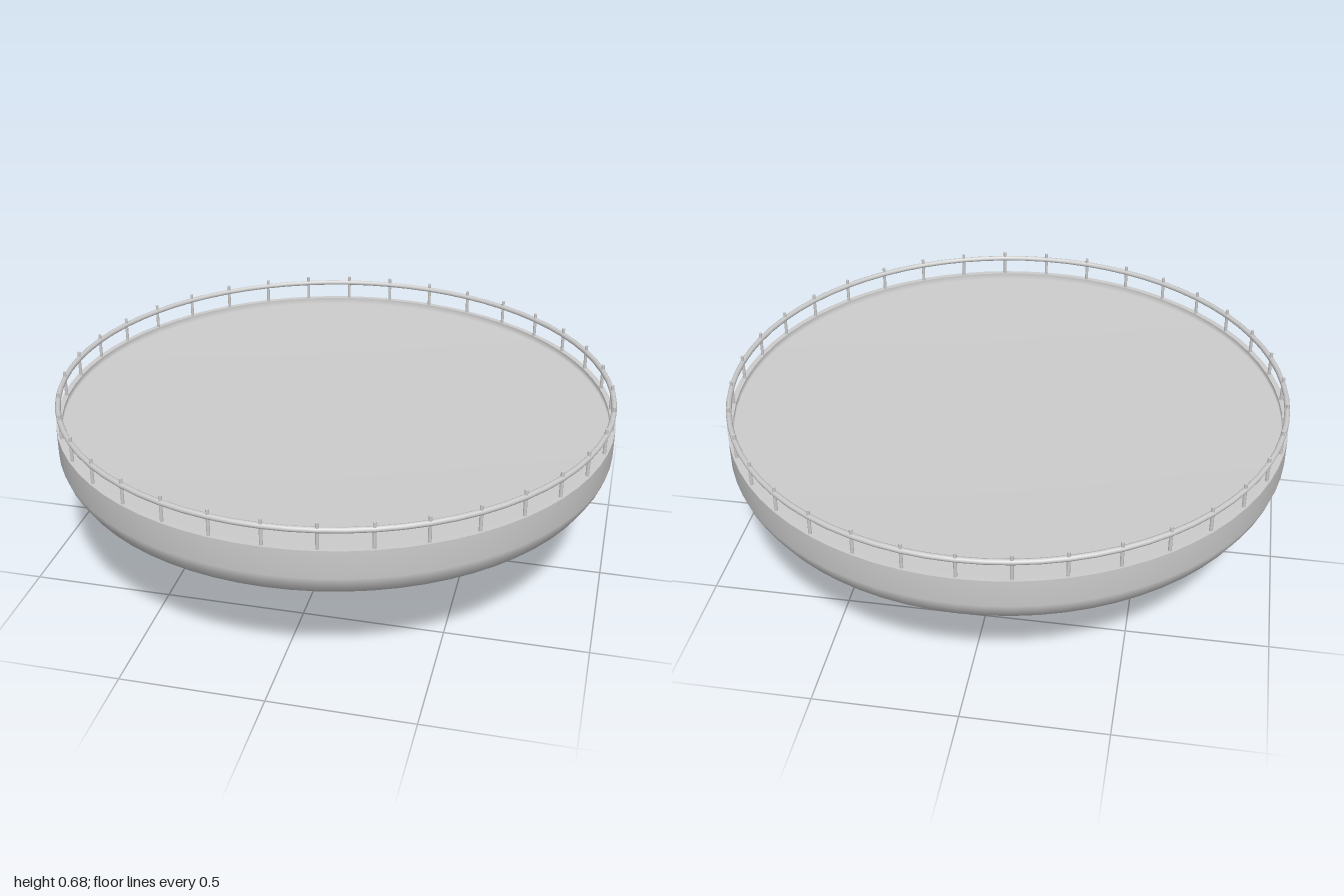
import * as THREE from 'three';
import { mergeVertices } from 'three/addons/utils/BufferGeometryUtils.js';

const SEGMENTS = 72;
const POSTS = 36;
const RIM_Y = 0.59;
const RAIL_R = 0.988;

export function createModel() {
  const model = new THREE.Group();
  const material = new THREE.MeshStandardMaterial({ color: 0xcccccc, side: THREE.DoubleSide });

  const add = (name, geometry, parent = model) => {
    const mesh = new THREE.Mesh(geometry, material);
    mesh.name = name;
    parent.add(mesh);
    return mesh;
  };
  const lathe = (points) =>
    new THREE.LatheGeometry(points.map(([r, y]) => new THREE.Vector2(r, y)), SEGMENTS);

  // Hull: radius, height on the steep side, height on the sagging side
  const profile = [
    [0, 0, 0], [0.05, 0.045, 0.002], [0.12, 0.115, 0.005], [0.2, 0.155, 0.05],
    [0.42, 0.24, 0.17], [0.7, 0.31, 0.3], [0.965, 0.42, 0.42],
    [0.99, 0.46, 0.46], [1, 0.49, 0.49], [1, RIM_Y, RIM_Y],
  ];
  let hull = lathe(profile);
  const pos = hull.attributes.position;
  const sagAngle = THREE.MathUtils.degToRad(-35); // towards +x and -z
  for (let i = 0; i < pos.count; i++) {
    const [, steep, sag] = profile[i % profile.length];
    const angle = Math.atan2(pos.getZ(i), pos.getX(i));
    pos.setY(i, THREE.MathUtils.lerp(steep, sag, (1 + Math.cos(angle - sagAngle)) / 2));
  }
  hull.deleteAttribute('uv');
  hull.deleteAttribute('normal');
  hull = mergeVertices(hull, 1e-5);
  hull.computeVertexNormals();
  add('hull', hull);

  // Narrow flat rim and the sunken deck, softly shaded into its edge
  add('rim', lathe([[1, RIM_Y], [0.98, RIM_Y]]));
  add('deck', lathe([[0.98, RIM_Y], [0.98, 0.565], [0, 0.565]]));

  // Railing: one round hoop carried by evenly spaced posts
  const railing = new THREE.Group();
  railing.name = 'railing';
  model.add(railing);
  const hoop = add('handrail', new THREE.TorusGeometry(RAIL_R, 0.01, 8, SEGMENTS), railing);
  hoop.rotation.x = Math.PI / 2;
  hoop.position.y = 0.657;

  const postGeometry = new THREE.CylinderGeometry(0.006, 0.006, 0.095, 8);
  for (let i = 0; i < POSTS; i++) {
    const a = (i / POSTS) * Math.PI * 2;
    const post = add('railingPost', postGeometry, railing);
    post.position.set(Math.sin(a) * RAIL_R, 0.635, Math.cos(a) * RAIL_R);
  }

  return model;
}
